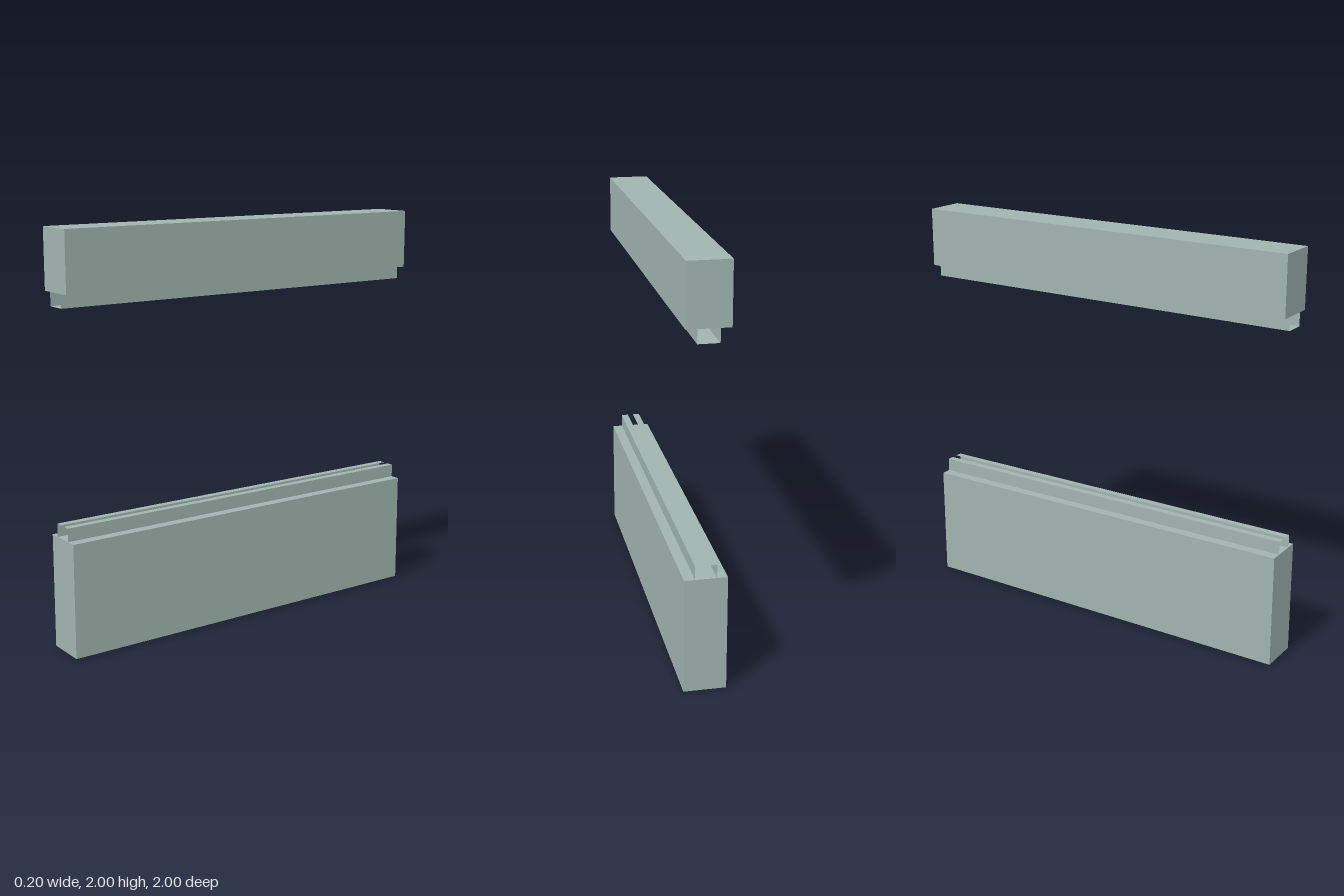
import * as THREE from 'three';

const LENGTH = 2;
const TRACK_HALF = 0.05;
const TRACK_HEIGHT = 0.065;
const LIP = 0.035;

export function createModel() {
  const group = new THREE.Group();
  const material = new THREE.MeshStandardMaterial({ color: 0xa0b4af, side: THREE.DoubleSide });
  material.name = 'sage grey';

  const add = (name, geometry, parent = group) => {
    const mesh = new THREE.Mesh(geometry, material);
    mesh.name = name;
    parent.add(mesh);
    return mesh;
  };

  // solid beam spanning the full length
  const beam = (name, bottom, top) =>
    add(name, new THREE.BoxGeometry(0.2, top - bottom, LENGTH).translate(0, (bottom + top) / 2, 0));

  // sheet lying flat, facing up
  const flat = (name, x, y, width, parent) =>
    add(name, new THREE.PlaneGeometry(width, LENGTH).rotateX(-Math.PI / 2).translate(x, y, 0), parent);

  // open-ended sheet-metal channel: two side walls
  const track = (name, bottom) => {
    const channel = new THREE.Group();
    channel.name = name;
    for (const side of [-1, 1]) {
      add(side > 0 ? 'leftWall' : 'rightWall',
        new THREE.PlaneGeometry(LENGTH, TRACK_HEIGHT).rotateY(side * Math.PI / 2)
          .translate(side * TRACK_HALF, bottom + TRACK_HEIGHT / 2, 0), channel);
    }
    group.add(channel);
    return channel;
  };

  beam('lowerBeam', 0, 0.56);
  beam('upperBeam', 1.71, 2);

  // lower channel rests on its beam, with two lips leaving a slot
  const lower = track('lowerTrack', 0.56);
  for (const side of [-1, 1]) {
    flat(side > 0 ? 'leftLip' : 'rightLip', side * (TRACK_HALF - LIP / 2), 0.56 + TRACK_HEIGHT, LIP, lower);
  }

  // upper channel hangs from its beam, with a closed floor
  const upper = track('upperTrack', 1.71 - TRACK_HEIGHT);
  flat('trackFloor', 0, 1.71 - TRACK_HEIGHT, TRACK_HALF * 2, upper);

  return group;
}
